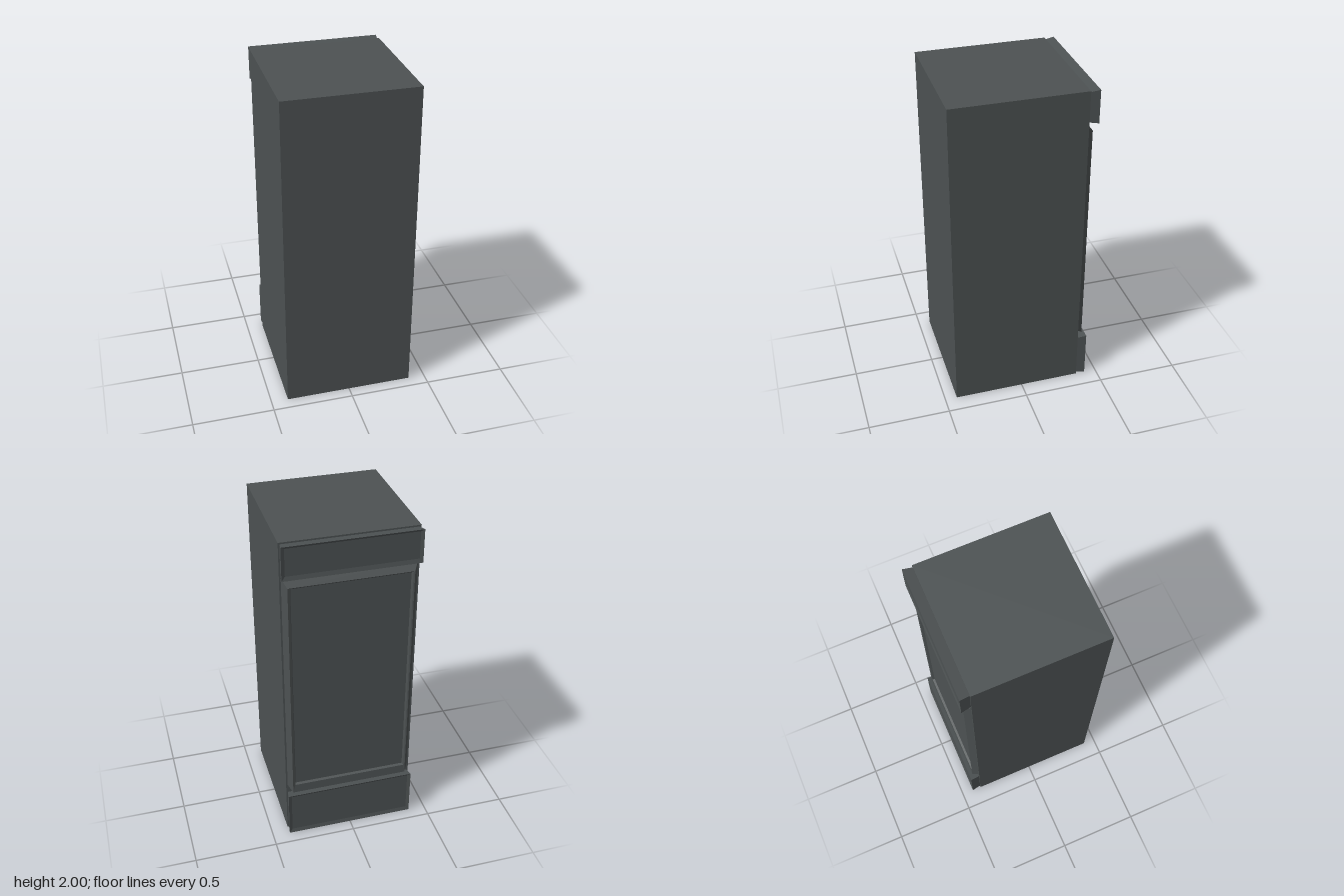
import * as THREE from 'three';

const charcoal = new THREE.MeshStandardMaterial({ color: 0x4d5253 });
charcoal.name = 'charcoal';

// Lofts rectangular rings [right x, left x, low y, high y, z] towards the back and caps the last one
function loftPanel(name, rings) {
  const corners = rings.map(([x0, x1, y0, y1, z]) => [
    [x1, y0, z], [x0, y0, z], [x0, y1, z], [x1, y1, z],
  ]);
  const pos = [];
  const quad = (a, b, c, d) => pos.push(...a, ...b, ...c, ...a, ...c, ...d);
  for (let r = 0; r < corners.length - 1; r++) {
    const a = corners[r], b = corners[r + 1];
    for (let i = 0; i < 4; i++) {
      const j = (i + 1) % 4;
      quad(a[i], a[j], b[j], b[i]);
    }
  }
  quad(...corners[corners.length - 1]);
  const geo = new THREE.BufferGeometry();
  geo.setAttribute('position', new THREE.Float32BufferAttribute(pos, 3));
  geo.computeVertexNormals(); // unshared corners keep the facets flat
  const mesh = new THREE.Mesh(geo, charcoal);
  mesh.name = name;
  return mesh;
}

export function createModel() {
  const group = new THREE.Group();
  group.name = 'cabinet';

  // Plain tall body
  const body = new THREE.Mesh(new THREE.BoxGeometry(0.792, 2, 0.795), charcoal);
  body.name = 'body';
  body.position.set(0, 1, 0.029);
  group.add(body);

  // Flared boards across the top and bottom of the back, with slightly dished faces
  for (const [name, low, high] of [['topBoard', 1.8, 2], ['bottomBoard', 0, 0.3]]) {
    group.add(loftPanel(name, [
      [-0.387, 0.387, low + 0.01, high - 0.01, -0.366],
      [-0.395, 0.395, low, high, -0.426],
      [-0.375, 0.375, low + 0.025, high - 0.012, -0.42],
    ]));
  }

  // Bevelled back door with a shallow recessed field
  group.add(loftPanel('backDoor', [
    [-0.388, 0.388, 0.35, 1.79, -0.366],
    [-0.36, 0.36, 0.31, 1.742, -0.405],
    [-0.352, 0.346, 0.365, 1.737, -0.402],
    [-0.345, 0.34, 0.372, 1.728, -0.388],
  ]));

  return group;
}
